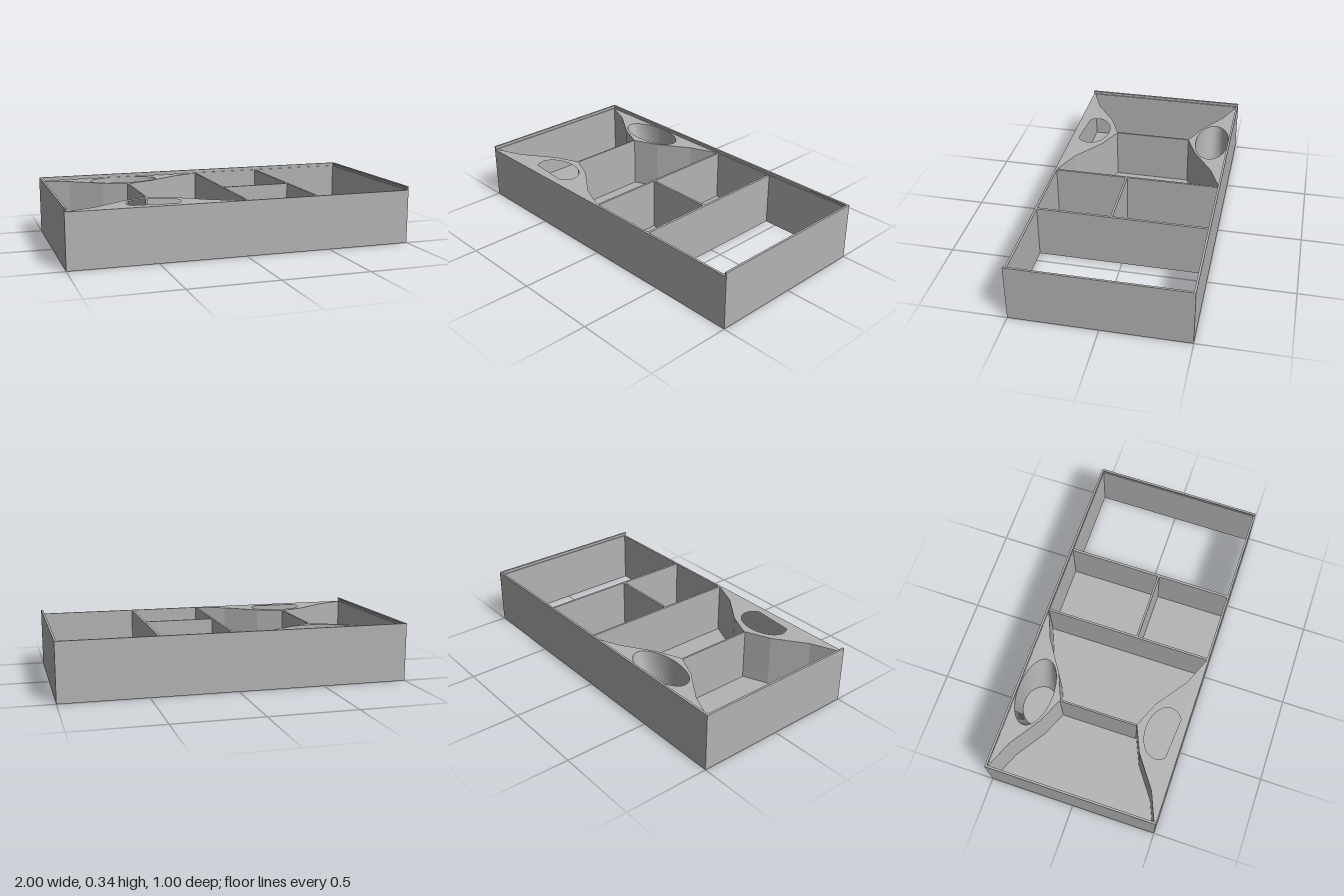
import * as THREE from 'three';

const T = 0.012;      // wall thickness
const RIM = 0.315;    // top of dividers, blocks and front wall
const TOP = 0.337;    // top of the three grooved walls

export function createModel() {
  const group = new THREE.Group();
  const grey = new THREE.MeshStandardMaterial({ color: 0xb3b3b3 });
  grey.name = 'plainGrey';

  const add = (name, geometry) => {
    const mesh = new THREE.Mesh(geometry, grey);
    mesh.name = name;
    group.add(mesh);
    return mesh;
  };
  // Box given by its min and max corners
  const box = (name, x0, x1, y0, y1, z0, z1) =>
    add(name, new THREE.BoxGeometry(x1 - x0, y1 - y0, z1 - z0)
      .translate((x0 + x1) / 2, (y0 + y1) / 2, (z0 + z1) / 2));

  // Floor, leaving the right-hand bay open underneath
  box('floor', -1, 0.43, 0, T, -0.5, 0.5);

  // Front wall is low so a lid can slide in
  box('frontWall', -1 + T, 1 - T, 0, RIM, 0.5 - T, 0.5);

  // Side and back walls, each with a shallow lid groove near the top
  const wallProfile = () => new THREE.Shape([
    [0, 0], [T, 0], [T, RIM + 0.002], [T / 2, RIM + 0.002], [T / 2, 0.328],
    [T, 0.328], [T, TOP], [0, TOP],
  ].map(([x, y]) => new THREE.Vector2(x, y)));
  const groovedWall = (name, length, x, z, turn) => {
    const g = new THREE.ExtrudeGeometry(wallProfile(), { depth: length, bevelEnabled: false });
    g.translate(0, 0, -length / 2).rotateY(turn).translate(x, 0, z);
    add(name, g);
  };
  groovedWall('rightSideWall', 1, -1, 0, 0);
  groovedWall('leftSideWall', 1, 1, 0, Math.PI);
  groovedWall('backWall', 2 - T, 0, -0.5, -Math.PI / 2);

  // Compartment dividers
  box('middleDivider', 0, T, T, RIM, -0.49, 0.49);
  box('bayDivider', 0.416, 0.43, 0, RIM, -0.49, 0.49);
  box('crossDivider', T, 0.418, T, RIM, 0.053, 0.065);
  box('trayDivider', -0.505, -0.495, T, RIM, -0.236, 0.226);

  // Corner-filling blocks with an oval well; the well may narrow towards its floor
  const block = (name, side, tip, shoulder, wellZ, topRx, bottomRx) => {
    const cx = -0.497, rz = 0.102;
    const half = [[0.497, 0.49], [0.33, 0.42], [0.15, shoulder]];
    const outline = [
      ...half.map(([dx, z]) => [cx - dx, z]),
      [cx, tip],
      ...half.map(([dx, z]) => [cx + dx, z]).reverse(),
    ];
    const shape = new THREE.Shape(outline.map(([x, z]) => new THREE.Vector2(x, -side * z)));
    const well = new THREE.Path();
    well.absellipse(cx, -side * wellZ, topRx, rz, 0, Math.PI * 2, true);
    shape.holes.push(well);
    const g = new THREE.ExtrudeGeometry(shape, { depth: RIM - T, bevelEnabled: false, curveSegments: 48 });
    g.rotateX(-Math.PI / 2).translate(0, T, 0);
    const p = g.attributes.position;
    for (let i = 0; i < p.count; i++) {
      const r = Math.hypot((p.getX(i) - cx) / topRx, (p.getZ(i) - side * wellZ) / rz);
      if (p.getY(i) < T + 0.001 && r < 1.01) p.setX(i, cx + (p.getX(i) - cx) * bottomRx / topRx);
    }
    g.computeVertexNormals();
    add(name, g);
  };
  block('backWellBlock', -1, 0.235, 0.30, 0.387, 0.205, 0.125);
  block('frontWellBlock', 1, 0.225, 0.29, 0.382, 0.154, 0.154);

  return group;
}
